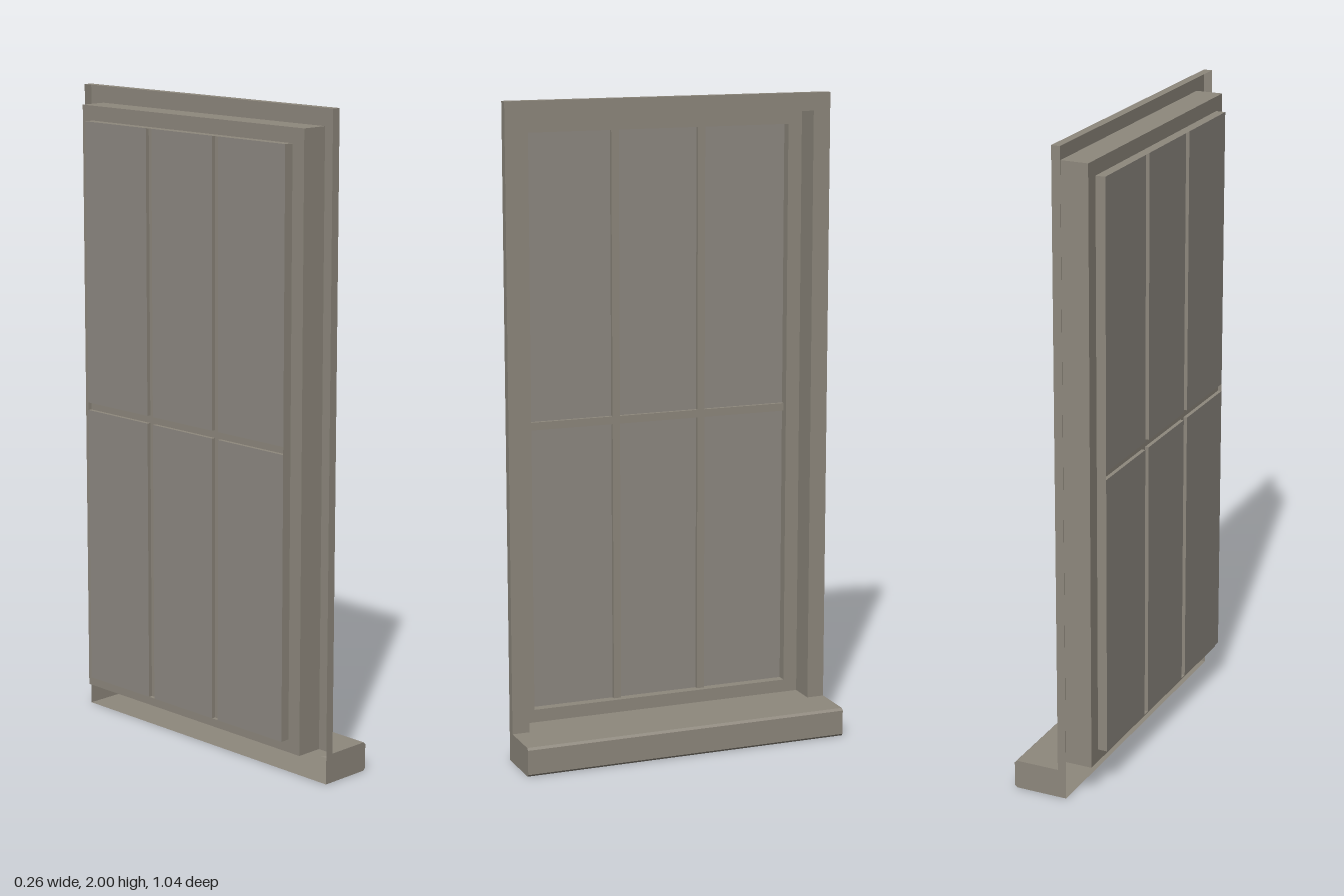
import * as THREE from 'three';
import { mergeGeometries } from 'three/addons/utils/BufferGeometryUtils.js';

const W = 0.52, TOP = 2, SILL = 0.09;             // casing half width, height, sill height
const OW = 0.465, OT = 1.945;                     // wall opening
const SW = 0.42, SB = 0.13, ST = 1.9;             // sash opening
const X_FACE = -0.015, X_WALL = -0.042, X_SASH = -0.1, X_GLASS = -0.13;
const BAR = 0.012, X_BAR = X_GLASS + 0.012;       // glazing bar half width and front plane

// one four-cornered sheet
function quad(a, b, c, d) {
  const g = new THREE.BufferGeometry();
  g.setAttribute('position', new THREE.Float32BufferAttribute([...a, ...b, ...c, ...a, ...c, ...d], 3));
  g.computeVertexNormals();
  return g;
}
// sheet swept between two x planes along a path of [z, y] points
function band(path, x0, x1) {
  return path.slice(1).map(([z, y], i) => {
    const [pz, py] = path[i];
    return quad([x0, py, pz], [x1, py, pz], [x1, y, z], [x0, y, z]);
  });
}
// upright rectangle facing +x
function panel(x, z0, z1, y0, y1) {
  return quad([x, y0, z1], [x, y0, z0], [x, y1, z0], [x, y1, z1]);
}
// flat border between two rectangles, facing +x
function border(x, w, b, t, iw, ib, it) {
  const parts = [panel(x, -w, -iw, b, t), panel(x, iw, w, b, t), panel(x, -iw, iw, it, t)];
  if (ib > b) parts.push(panel(x, -iw, iw, b, ib));
  return parts;
}
const arch = (w, b, t) => [[-w, b], [-w, t], [w, t], [w, b]];

export function createModel() {
  const frameMat = new THREE.MeshStandardMaterial({ color: 0x8e887d, side: THREE.DoubleSide });
  frameMat.name = 'stone grey';
  const paneMat = new THREE.MeshStandardMaterial({ color: 0x8e8982, side: THREE.DoubleSide });
  paneMat.name = 'pane grey';

  const model = new THREE.Group();
  model.name = 'window';
  const add = (name, parts, mat = frameMat) => {
    const mesh = new THREE.Mesh(mergeGeometries(parts), mat);
    mesh.name = name;
    model.add(mesh);
  };

  // casing, open at the back
  add('casing', [
    ...border(X_FACE, W, SILL, TOP, OW, SILL, OT),
    ...band(arch(W, SILL, TOP), X_FACE, X_WALL),
  ]);

  // jambs and head lining the opening
  add('reveal', band(arch(OW, SILL, OT), X_FACE, X_SASH));

  // sill with a fine bevel along its nose, open at the back
  const profile = [[X_WALL, 0], [0.123, 0], [0.13, 0.007], [0.13, 0.083], [0.123, SILL], [X_WALL, SILL]];
  const sill = profile.slice(1).map(([x, y], i) => {
    const [px, py] = profile[i];
    return quad([px, py, W], [x, y, W], [x, y, -W], [px, py, -W]);
  });
  for (const z of [-W, W]) {
    const end = new THREE.ShapeGeometry(new THREE.Shape(profile.map(p => new THREE.Vector2(...p))));
    end.deleteAttribute('uv');
    if (z < 0) end.rotateY(Math.PI).scale(-1, 1, 1).scale(1, 1, 1);
    sill.push(end.toNonIndexed().translate(0, 0, z));
  }
  // tapered ledge running back to the sash
  sill.push(quad([X_WALL, SILL, W], [X_WALL, SILL, -W], [X_SASH, SILL, -OW], [X_SASH, SILL, OW]));
  add('sill', sill);

  // sash frame and its stepped edge
  add('sash', [
    ...border(X_SASH, OW, SILL, OT, SW, SB, ST),
    ...band([...arch(SW, SB, ST), [-SW, SB]], X_SASH, X_GLASS),
  ]);

  // panes in three columns and two rows, with raised bars between them
  const cols = [-SW, -SW / 3, SW / 3, SW], rows = [SB, (SB + ST) / 2, ST];
  const panes = [], bars = [];
  for (let c = 0; c < 3; c++) {
    for (let r = 0; r < 2; r++) {
      const z0 = cols[c] + (c > 0 ? BAR : 0), z1 = cols[c + 1] - (c < 2 ? BAR : 0);
      const y0 = rows[r] + (r > 0 ? BAR : 0), y1 = rows[r + 1] - (r < 1 ? BAR : 0);
      panes.push(panel(X_GLASS, z0, z1, y0, y1));
      // bar sides around this pane
      if (c > 0) bars.push(...band([[z0, y0], [z0, y1]], X_GLASS, X_BAR));
      if (c < 2) bars.push(...band([[z1, y0], [z1, y1]], X_GLASS, X_BAR));
      const y = r > 0 ? y0 : y1;
      bars.push(...band([[z0, y], [z1, y]], X_GLASS, X_BAR));
      // upright bar face
      if (c > 0) bars.push(panel(X_BAR, cols[c] - BAR, cols[c] + BAR, y0, y1));
    }
  }
  bars.push(panel(X_BAR, -SW, SW, rows[1] - BAR, rows[1] + BAR));
  add('panes', panes, paneMat);
  add('glazingBars', bars);

  return model;
}
